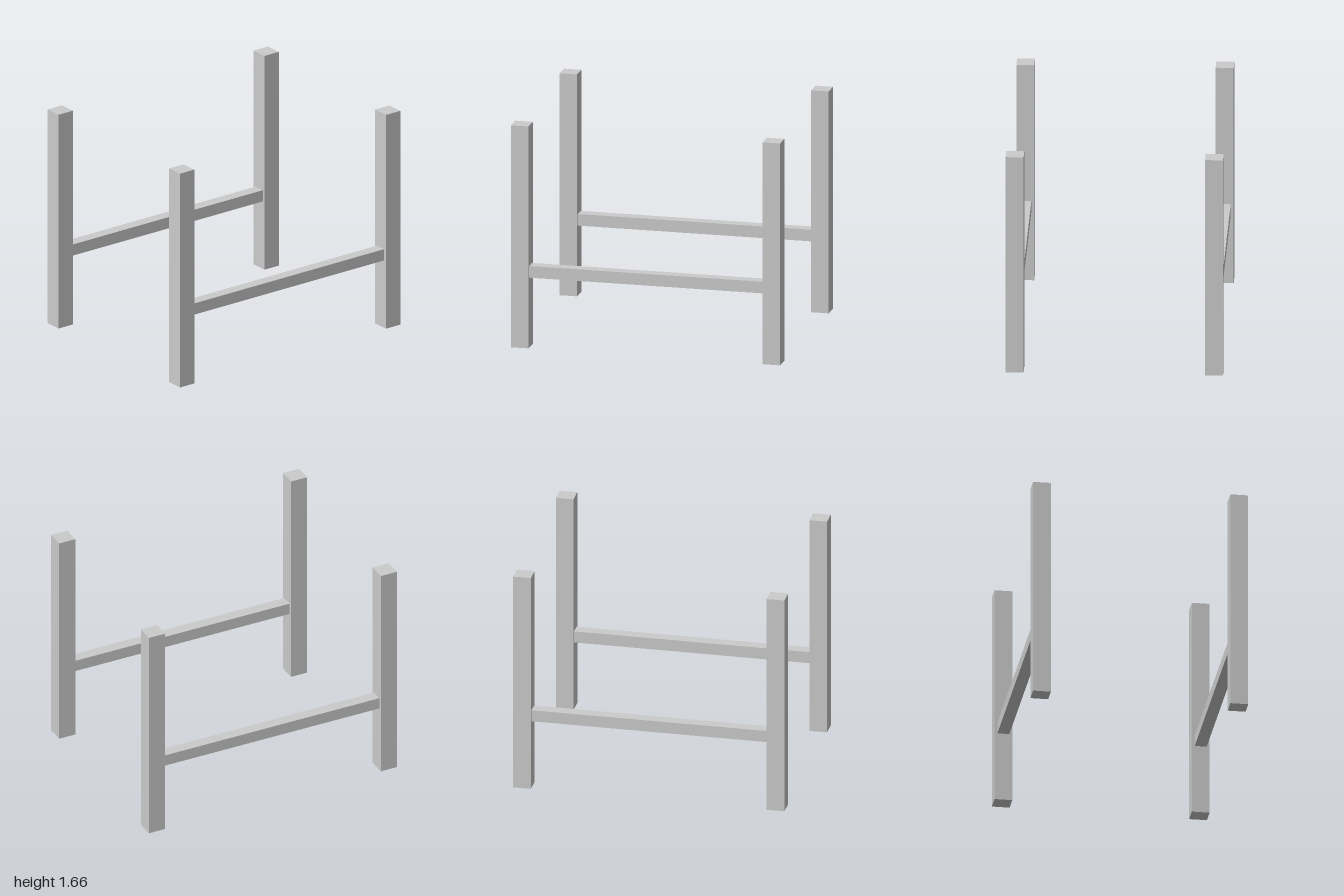
import * as THREE from 'three';

const LEG = 0.13, HEIGHT = 1.66, RAIL = 0.087, RAIL_Y = 0.567;
const LEG_X = 1 - LEG / 2, LEG_Z = 0.719;

export function createModel() {
  const model = new THREE.Group();
  model.name = 'tableFrame';
  const material = new THREE.MeshStandardMaterial({ color: 0xcccccc });
  const legGeometry = new THREE.BoxGeometry(LEG, HEIGHT, LEG);
  const railGeometry = new THREE.BoxGeometry(2 * LEG_X - LEG, RAIL, RAIL);

  const add = (name, geometry, x, y, z) => {
    const mesh = new THREE.Mesh(geometry, material);
    mesh.name = name;
    mesh.position.set(x, y, z);
    model.add(mesh);
  };

  // Each end: two square legs joined by a slimmer rail
  for (const [end, sz] of [['front', 1], ['back', -1]]) {
    for (const [side, sx] of [['Left', 1], ['Right', -1]]) {
      add(`${end}${side}Leg`, legGeometry, sx * LEG_X, HEIGHT / 2, sz * LEG_Z);
    }
    add(`${end}Rail`, railGeometry, 0, RAIL_Y, sz * LEG_Z);
  }
  return model;
}
